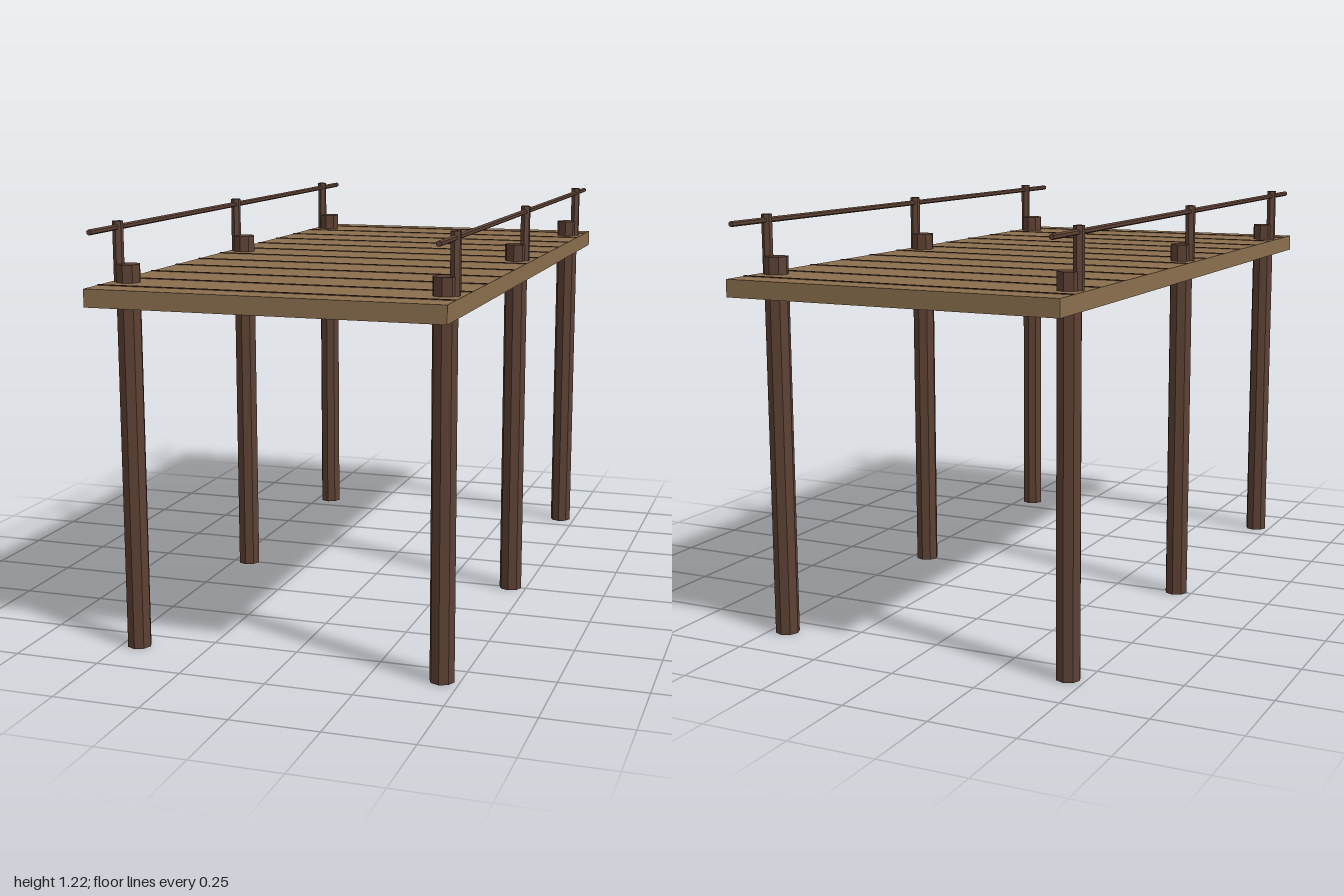
import * as THREE from 'three';

export function createModel() {
  const model = new THREE.Group();
  model.name = 'pier';

  const plankWood = new THREE.MeshStandardMaterial({ color: 0x8b6f4e });
  plankWood.name = 'plank wood';
  const darkWood = new THREE.MeshStandardMaterial({ color: 0x5c4033 });
  darkWood.name = 'dark wood';
  darkWood.flatShading = true;

  function add(name, geometry, material, x, y, z) {
    const mesh = new THREE.Mesh(geometry, material);
    mesh.name = name;
    mesh.position.set(x, y, z);
    model.add(mesh);
    return mesh;
  }

  // Deck slab
  add('deck', new THREE.BoxGeometry(1, 0.05, 2), plankWood, 0, 1.025, 0);

  // Dark seams between the planks, just proud of the deck
  const seam = new THREE.BoxGeometry(1, 0.004, 0.01);
  for (let i = 0; i < 12; i++) {
    add('plankSeam', seam, darkWood, 0, 1.05, (i - 5.5) / 6);
  }

  // Piles, railing posts and handrails on both sides
  const pile = new THREE.CylinderGeometry(0.035, 0.035, 1.1, 8);
  const post = new THREE.CylinderGeometry(0.015, 0.015, 0.167, 6);
  const rail = new THREE.CylinderGeometry(0.008, 0.008, 2, 6).rotateX(Math.PI / 2);
  for (const side of [-1, 1]) {
    for (const z of [-0.833, 0, 0.833]) {
      add('pile', pile, darkWood, side * 0.45, 0.55, z);
      add('railPost', post, darkWood, side * 0.477, 1.1335, z);
    }
    add('handrail', rail, darkWood, side * 0.477, 1.2, 0);
  }

  return model;
}
